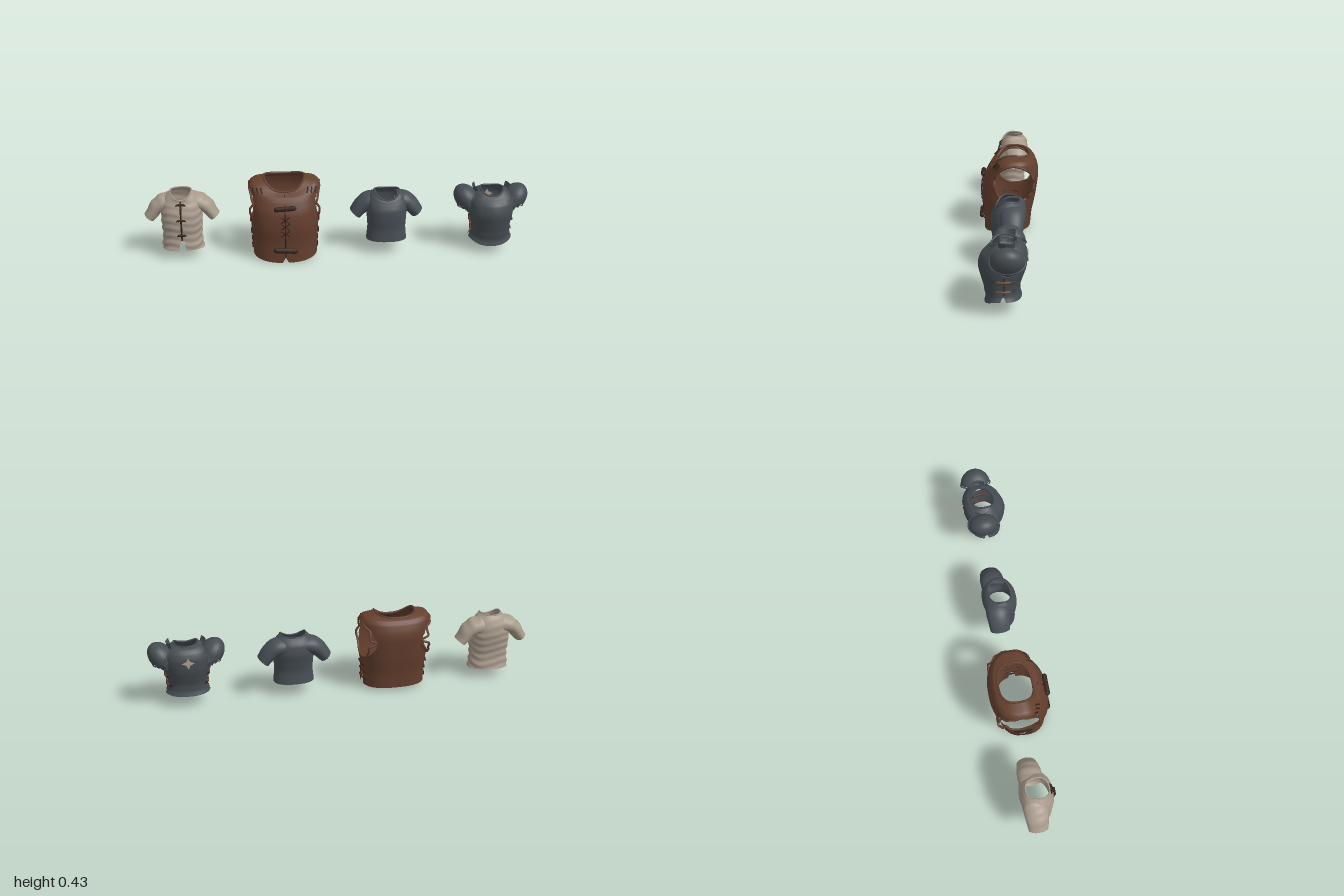
import * as THREE from 'three';

const mat = (name, color) => Object.assign(new THREE.MeshStandardMaterial({ color, side: THREE.DoubleSide }), { name });
const linen = mat('linen', 0xa99c8d);
const leather = mat('leather', 0x643f2e);
const darkLeather = mat('darkLeather', 0x34221b);
const strapLeather = mat('strapLeather', 0x6e432d);
const cloth = mat('slateCloth', 0x484f55);
const steel = mat('steel', 0x464d52);
const N = 128; // points around a torso

function add(parent, name, geometry, material) {
  const m = new THREE.Mesh(geometry, material);
  m.name = name;
  parent.add(m);
  return m;
}

// Surface from closed rings; keep(i, j) can leave cells out
function rings(rows, n, point, keep = () => true) {
  const pos = [], idx = [];
  for (let i = 0; i <= rows; i++) for (let j = 0; j < n; j++) pos.push(...point(i / rows, j / n));
  for (let i = 0; i < rows; i++) for (let j = 0; j < n; j++) {
    const k = (j + 1) % n, c = [i * n + j, i * n + k, i * n + n + k, i * n + n + j];
    if (keep(c)) idx.push(c[0], c[1], c[2], c[0], c[2], c[3]);
  }
  const g = new THREE.BufferGeometry();
  g.setAttribute('position', new THREE.Float32BufferAttribute(pos, 3));
  g.setIndex(idx);
  g.computeVertexNormals();
  return g;
}

// Torso from sections [halfWidth, zFront, zBack, ySide, yFront, yBack];
// holes are ellipses {axis, u, y, ru, ry} cut along x (both sides) or z (front)
function torso(sections, { holes = [], p = 0.85, ripple = 0, keel = 0 } = {}) {
  const size = new THREE.CatmullRomCurve3(sections.map(s => new THREE.Vector3(s[0], s[1], s[2])));
  const high = new THREE.CatmullRomCurve3(sections.map(s => new THREE.Vector3(s[3], s[4], s[5])));
  const cut = [];
  const point = (v, w) => {
    const t = w * Math.PI * 2, s = Math.sin(t), c = Math.cos(t);
    const d = size.getPoint(v), h = high.getPoint(v);
    let y = h.x + ((c > 0 ? h.y : h.z) - h.x) * c * c;
    const fold = 1 + ripple * Math.sin(150 * y + 1.5 * Math.sin(3 * t)) * (1 - v);
    let x = d.x * Math.sign(s) * Math.abs(s) ** p * fold;
    let z = (d.y + d.z) / 2 + (d.y - d.z) / 2 * Math.sign(c) * Math.abs(c) ** p * fold;
    if (c > 0) z += keel * Math.max(0, 1 - Math.abs(s) * 2.5) * Math.sin(Math.PI * v);
    let inside = false;
    for (const o of holes) {
      if (o.axis === 'z' && z < 0) continue;
      const u = o.axis === 'x' ? z : x;
      const k = Math.max(Math.hypot((u - o.u) / o.ru, (y - o.y) / o.ry), 0.001);
      if (k >= 1) continue;
      inside = true;
      const nu = o.u + (u - o.u) / k;
      y = o.y + (y - o.y) / k;
      if (o.axis === 'x') z = nu; else x = nu;
    }
    cut.push(inside);
    return [x, y, z];
  };
  return rings(64, N, point, c => !c.every(k => cut[k]));
}

// Point on a torso seen along axis ('x' or 'z') at (u, y), lifted a little
function onSurface(g, axis, side, u, y, lift = 0.004) {
  const p = g.attributes.position;
  let best = 1e9, depth = 0;
  for (let i = 0; i < p.count; i++) {
    const d = axis === 'x' ? p.getX(i) : p.getZ(i), w = axis === 'x' ? p.getZ(i) : p.getX(i);
    const e = Math.hypot(w - u, p.getY(i) - y);
    if (d * side > 0.01 && e < best) { best = e; depth = d; }
  }
  depth += side * lift;
  return axis === 'x' ? new THREE.Vector3(depth, y, u) : new THREE.Vector3(u, y, depth);
}

function cord(parent, name, pts, r, material, closed = false) {
  const curve = new THREE.CatmullRomCurve3(pts, closed);
  return add(parent, name, new THREE.TubeGeometry(curve, pts.length * 4, r, 6, closed), material);
}

// Cord lying on a torso through [u, y] points
const lace = (parent, name, g, axis, side, uy, r, material) =>
  cord(parent, name, uy.map(([u, y]) => onSurface(g, axis, side, u, y)), r, material);

// Rolled edge along the neckline
function neckTrim(parent, g, r, material) {
  const p = g.attributes.position, pts = [];
  for (let j = 0; j < N; j += 4) pts.push(new THREE.Vector3().fromBufferAttribute(p, 64 * N + j));
  cord(parent, 'neckTrim', pts, r, material, true);
}

// Rolled edge around an armhole
function armTrim(parent, g, o, side, r, material) {
  const pts = [];
  for (let i = 0; i < 28; i++) {
    const t = i / 28 * Math.PI * 2;
    pts.push(onSurface(g, 'x', side, o.u + o.ru * Math.cos(t), o.y + o.ry * Math.sin(t), 0));
  }
  cord(parent, 'armholeTrim', pts, r, material, true);
}

// Open sleeves from stations [x, y, radius, zRadius]
function sleeves(parent, st, zc, material, ripple = 0) {
  const path = new THREE.CatmullRomCurve3(st.map(s => new THREE.Vector3(s[0], s[1], zc)));
  const rad = new THREE.CatmullRomCurve3(st.map(s => new THREE.Vector3(s[2], s[3], 0)));
  for (const side of [1, -1]) add(parent, side > 0 ? 'leftSleeve' : 'rightSleeve', rings(24, 40, (v, w) => {
    const c = path.getPoint(v), d = path.getTangent(v), r = rad.getPoint(v), a = w * Math.PI * 2;
    const k = Math.cos(a) * r.x * (1 + ripple * Math.sin(v * 20 + a));
    return [side * (c.x - d.y * k), c.y + d.x * k, zc + Math.sin(a) * r.y];
  }), material);
}

// Horizontal toggle fastener on the front
function toggle(parent, g, y, length, r, lift, tilt = 0) {
  const m = add(parent, 'toggle', new THREE.CapsuleGeometry(r, length - 2 * r, 4, 10), darkLeather);
  m.position.copy(onSurface(g, 'z', 1, 0, y, lift));
  m.rotation.z = Math.PI / 2 + tilt;
}

function garment(root, name, x) {
  const g = new THREE.Group();
  g.name = name;
  g.position.x = x;
  root.add(g);
  return g;
}

function linenShirt(root) {
  const s = garment(root, 'linenShirt', -0.81);
  const body = torso([
    [.108, .07, -.08, .06, .06, .06], [.102, .068, -.075, .13, .13, .13], [.106, .075, -.085, .2, .2, .2],
    [.106, .074, -.095, .26, .26, .26], [.1, .064, -.092, .31, .3, .31], [.08, .056, -.08, .343, .32, .342],
    [.054, .055, -.065, .368, .335, .365]], { ripple: .03, holes: [{ axis: 'z', u: 0, y: .055, ru: .018, ry: .06 }] });
  add(s, 'shirtBody', body, linen);
  neckTrim(s, body, .004, linen);
  sleeves(s, [[.05, .305, .05, .06], [.09, .3, .045, .062], [.125, .278, .039, .058], [.168, .22, .03, .05]], -.028, linen, .05);
  lace(s, 'frontSeam', body, 'z', 1, [[0, .33], [0, .26], [0, .19], [0, .12]], .0045, darkLeather);
  for (const y of [.315, .235, .15]) {
    toggle(s, body, y, .042, .006, .008);
    lace(s, 'toggleLoop', body, 'z', 1, [[-.026, y - .006], [0, y], [.026, y - .006]], .003, darkLeather);
  }
}

function leatherVest(root) {
  const s = garment(root, 'leatherVest', -0.278);
  const arm = { axis: 'x', u: -.028, y: .292, ru: .106, ry: .102 };
  const body = torso([
    [.165, .133, -.115, .025, .006, .026], [.167, .135, -.122, .1, .1, .1], [.175, .147, -.143, .2, .2, .2],
    [.178, .142, -.155, .28, .27, .29], [.18, .118, -.155, .35, .33, .34], [.183, .1, -.14, .395, .355, .385],
    [.165, .085, -.125, .417, .365, .405], [.105, .07, -.106, .43, .375, .415]], {
    p: .78, holes: [arm, { axis: 'x', u: -.006, y: .015, ru: .019, ry: .1 }, { axis: 'z', u: 0, y: 0, ru: .014, ry: .035 }] });
  add(s, 'vestBody', body, leather);
  neckTrim(s, body, .006, leather);
  lace(s, 'frontSeam', body, 'z', 1, [[0, .365], [0, .28], [0, .2], [0, .12], [0, .04]], .003, darkLeather);
  for (const y of [.175, .215, .25]) for (const d of [1, -1])
    lace(s, 'frontLace', body, 'z', 1, [[-.022, y - d * .016], [0, y], [.022, y + d * .016]], .003, darkLeather);
  toggle(s, body, .31, .115, .013, .012, .06);
  toggle(s, body, .08, .125, .014, .012, -.06);
  for (const side of [1, -1]) {
    armTrim(s, body, arm, side, .006, leather);
    // Side lacing and shoulder stitches
    for (const y of [.06, .1, .14])
      lace(s, 'sideLace', body, 'x', side, [[-.055, y], [-.006, y + .003], [.04, y]], .004, darkLeather);
    for (const x of [.115, .135, .155])
      lace(s, 'shoulderStitch', body, 'z', 1, [[side * x, .372], [side * (x + .006), .395]], .004, darkLeather);
  }
}

function plainTee(root) {
  const s = garment(root, 'plainTee', 0.255);
  const body = torso([
    [.106, .073, -.075, .08, .08, .08], [.1, .072, -.073, .14, .14, .14], [.103, .08, -.085, .2, .2, .2],
    [.105, .082, -.098, .25, .25, .25], [.102, .07, -.095, .295, .28, .295], [.085, .06, -.08, .327, .298, .322],
    [.066, .053, -.064, .344, .307, .336]]);
  add(s, 'teeBody', body, cloth);
  neckTrim(s, body, .004, cloth);
  sleeves(s, [[.05, .285, .045, .06], [.09, .282, .046, .062], [.125, .258, .043, .058], [.163, .212, .035, .052]], -.03, cloth);
}

function plateArmor(root) {
  const s = garment(root, 'plateArmor', 0.805);
  const arm = { axis: 'x', u: -.02, y: .258, ru: .052, ry: .052 };
  const body = torso([
    [.1, .085, -.074, .105, .09, .1], [.1, .09, -.076, .13, .125, .13], [.105, .1, -.087, .165, .165, .165],
    [.115, .112, -.105, .22, .23, .22], [.118, .1, -.11, .27, .275, .275], [.108, .08, -.1, .31, .298, .31],
    [.085, .068, -.082, .333, .31, .33], [.06, .06, -.062, .345, .318, .338]], { holes: [arm], keel: .006 });
  add(s, 'breastplate', body, steel);
  neckTrim(s, body, .005, steel);
  // Flared skirt with a pointed front
  const skirt = torso([[.114, .088, -.084, .08, .048, .074], [.104, .083, -.077, .1, .078, .098],
    [.102, .09, -.078, .122, .108, .12]], { holes: [{ axis: 'x', u: 0, y: .07, ru: .012, ry: .03 }] });
  add(s, 'skirt', skirt, steel);
  for (const side of [1, -1]) {
    armTrim(s, body, arm, side, .004, steel);
    // Side seam, straps and buckles
    lace(s, 'sideSeam', body, 'x', side, [[-.004, .11], [-.004, .15], [-.004, .2]], .002, darkLeather);
    for (const y of [.175, .125]) {
      lace(s, 'sideStrap', body, 'x', side, [[-.034, y], [0, y], [.028, y]], .007, strapLeather);
      lace(s, 'strapEnd', body, 'x', side, [[-.034, y], [-.055, y + .003]], .006, darkLeather);
    }
    // Shoulder guard: dome, two lames and an upright fin
    const guard = new THREE.Group();
    guard.name = side > 0 ? 'leftShoulderGuard' : 'rightShoulderGuard';
    guard.position.set(side * .124, .282, -.02);
    guard.rotation.z = -side * .7;
    s.add(guard);
    add(guard, 'shoulderDome', new THREE.SphereGeometry(1, 32, 12, 0, Math.PI * 2, 0, 1.5), steel).scale.set(.06, .083, .08);
    add(guard, 'shoulderRim', new THREE.TorusGeometry(1, .045, 6, 40).rotateX(Math.PI / 2), steel).scale.set(.062, .06, .081);
    for (let i = 0; i < 2; i++) {
      const lame = add(guard, 'shoulderLame', new THREE.CylinderGeometry(.92, 1, 1, 24, 1, true, side > 0 ? 0 : Math.PI, Math.PI), steel);
      lame.scale.set(.056 - i * .008, .03, .066 - i * .012);
      lame.position.y = -.01 - i * .022;
    }
    const fin = add(s, 'shoulderFin', new THREE.CylinderGeometry(.05, .045, .06, 12, 1, true, side > 0 ? .7 : Math.PI + .7, 1.75), steel);
    fin.position.set(side * .045, .34, -.015);
    fin.rotation.z = -side * .25;
  }
  // Four-pointed pale patch on the back
  const star = new THREE.Shape();
  for (let i = 0; i < 8; i++) {
    const r = i % 2 ? .014 : .03, a = i * Math.PI / 4;
    star[i ? 'lineTo' : 'moveTo'](r * Math.cos(a), r * Math.sin(a));
  }
  const patch = add(s, 'backPatch', new THREE.ExtrudeGeometry(star, { depth: .007, bevelEnabled: false }), linen);
  patch.position.copy(onSurface(body, 'z', -1, 0, .268, .004));
}

export function createModel() {
  const root = new THREE.Group();
  root.name = 'garmentSet';
  linenShirt(root);
  leatherVest(root);
  plainTee(root);
  plateArmor(root);
  return root;
}
